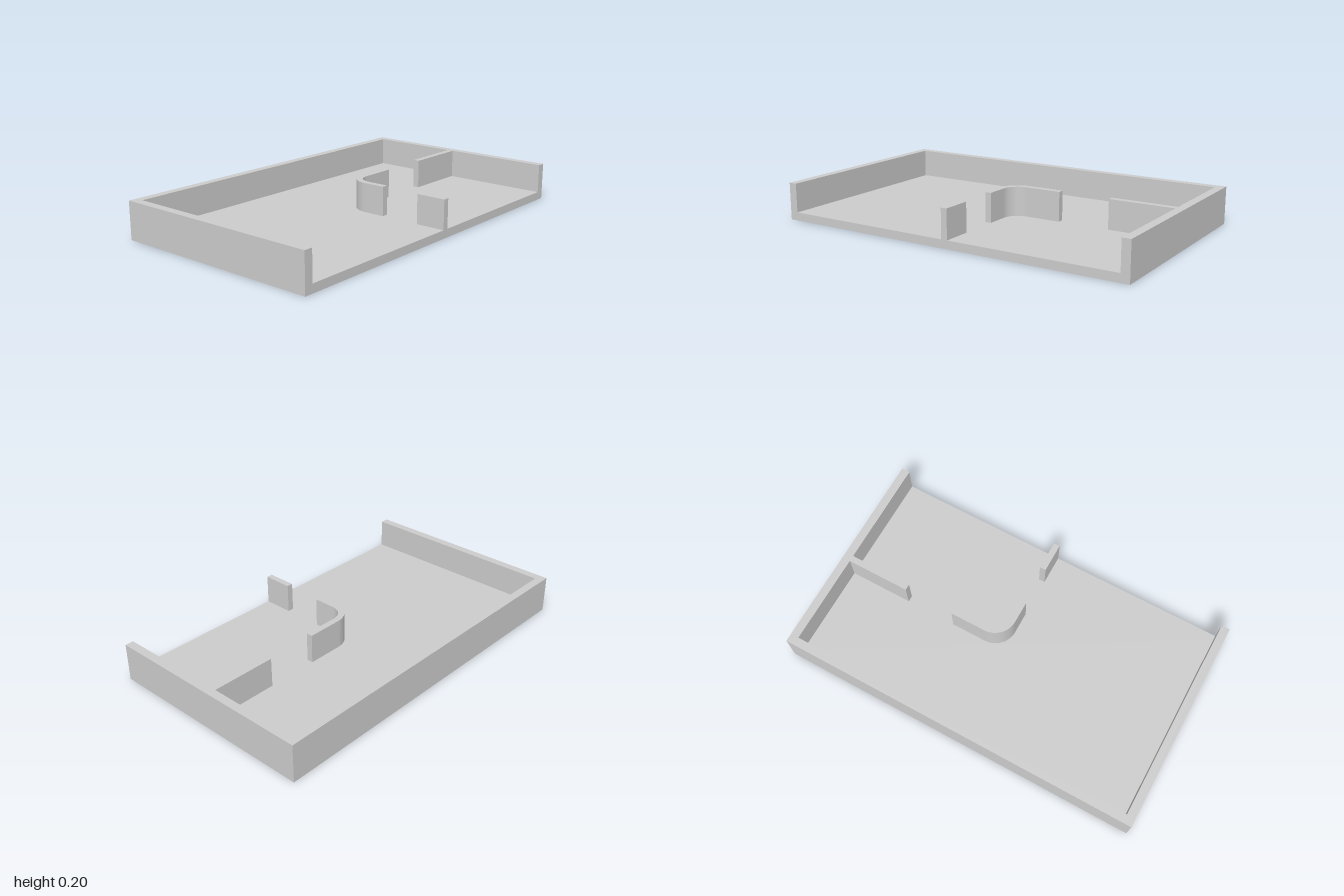
import * as THREE from 'three';

const FLOOR = 0.045, TOP = 0.203;   // floor thickness, wall top
const X = 1, Z = 0.585;             // half width, half depth
const T = 0.034;                    // partition thickness
const PX = 0.005, PZ = -0.038;      // outer faces of the partition lines

export function createModel() {
  const group = new THREE.Group();
  const material = new THREE.MeshStandardMaterial({ color: 0xcccccc, flatShading: true });

  const add = (name, geometry) => {
    const mesh = new THREE.Mesh(geometry, material);
    mesh.name = name;
    group.add(mesh);
  };
  // Raises a plan outline (x, -z) into an upright solid.
  const raise = (name, shape, y0, y1) => {
    const g = new THREE.ExtrudeGeometry(shape, { depth: y1 - y0, bevelEnabled: false, curveSegments: 8 });
    add(name, g.rotateX(-Math.PI / 2).translate(0, y0, 0));
  };
  const block = (name, x0, x1, y0, y1, z0, z1) =>
    add(name, new THREE.BoxGeometry(x1 - x0, y1 - y0, z1 - z0)
      .translate((x0 + x1) / 2, (y0 + y1) / 2, (z0 + z1) / 2));

  block('floor', -X, X, 0, FLOOR, -Z, Z);

  // Outer walls: a U open towards the front
  const ix = 0.954, iz = 0.54;
  const walls = new THREE.Shape([
    [-X, -Z], [-ix, -Z], [-ix, iz], [ix, iz], [ix, -Z], [X, -Z], [X, Z], [-X, Z],
  ].map(([x, y]) => new THREE.Vector2(x, y)));
  raise('outerWalls', walls, FLOOR, TOP);

  // Free-standing partition with a rounded corner
  const R = 0.12, cx = PX + R, cy = -PZ - R;
  const curved = new THREE.Shape();
  curved.moveTo(PX, -0.203);
  curved.lineTo(PX, cy);
  curved.absarc(cx, cy, R, Math.PI, Math.PI / 2, true);
  curved.lineTo(0.322, -PZ);
  curved.lineTo(0.322, -PZ - T);
  curved.lineTo(cx, -PZ - T);
  curved.absarc(cx, cy, R - T, Math.PI / 2, Math.PI, false);
  curved.lineTo(PX + T, -0.203);
  curved.closePath();
  raise('curvedPartition', curved, FLOOR, TOP);

  // Partition stubs beyond the two doorways
  block('sidePartition', 0.603, ix, FLOOR, TOP, PZ, PZ + T);
  block('frontPartition', PX, PX + T, FLOOR, TOP, 0.422, Z);

  return group;
}
